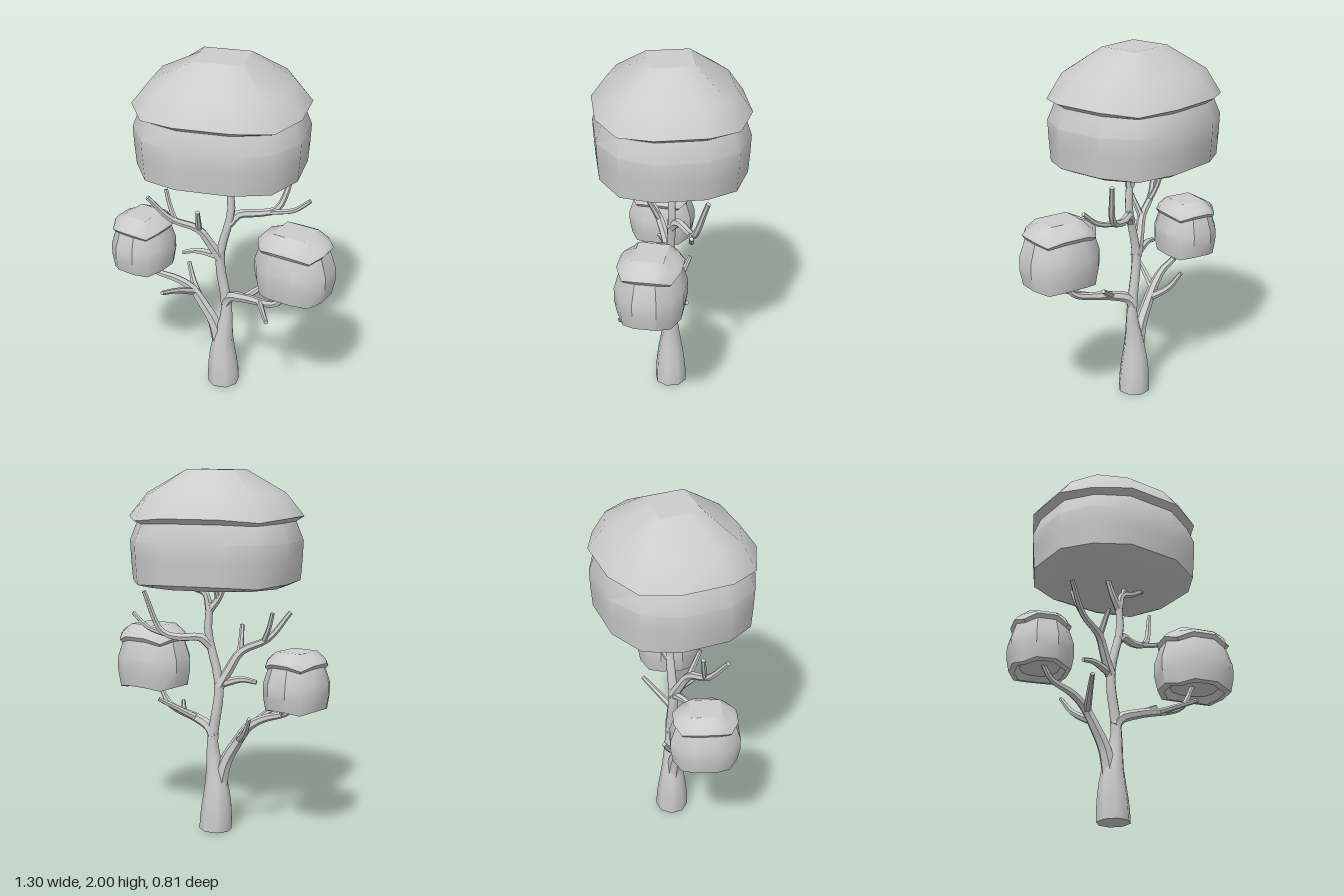
import * as THREE from 'three';
import { toCreasedNormals } from 'three/addons/utils/BufferGeometryUtils.js';

const material = new THREE.MeshStandardMaterial({ color: 0xcccccc });
const V = (x, y, z) => new THREE.Vector3(x, y, z);

// Skin a list of rings (each counter-clockwise around the direction of travel)
function loft(rings, crease, capStart, capEnd) {
  const n = rings[0].length, index = [];
  const points = rings.flat();
  const at = (r, i) => r * n + (i % n);
  for (let r = 0; r < rings.length - 1; r++)
    for (let i = 0; i < n; i++) {
      index.push(at(r, i), at(r, i + 1), at(r + 1, i + 1));
      index.push(at(r, i), at(r + 1, i + 1), at(r + 1, i));
    }
  const cap = (r, flip) => {
    const c = V(0, 0, 0);
    rings[r].forEach(p => c.add(p));
    points.push(c.divideScalar(n));
    for (let i = 0; i < n; i++)
      index.push(at(r, i + flip), at(r, i + 1 - flip), points.length - 1);
  };
  if (capStart) cap(0, 1);
  if (capEnd) cap(rings.length - 1, 0);
  const g = new THREE.BufferGeometry().setFromPoints(points);
  g.setIndex(index);
  return toCreasedNormals(g, crease);
}

// Twelve-sided rounded square; drop lowers its corners, corner sets how square it is
function ring(y, rx, rz, drop = 0, corner = 0.77) {
  const edge = 0.34, points = [];
  for (let q = 0; q < 4; q++)
    for (const [a, b, d] of [[edge, 1, 0], [corner, corner, drop], [1, edge, 0]]) {
      const [x, z] = [[a, b], [b, -a], [-a, -b], [-b, a]][q];
      points.push(V(x * rx, y - d, z * rz));
    }
  return points;
}

// Foliage: body, smooth overhanging lid and the flat square on top
// Profile rows are height, width, corner drop and squareness, as parts of the size
function foliage(name, profile, [rx, h, rz], position, turn) {
  const group = new THREE.Group();
  group.name = name;
  const rings = profile.map(([y, w, drop = 0, corner]) => ring(y * h, w * rx, w * rz, drop * h, corner));
  const add = (part, geometry) => {
    const mesh = new THREE.Mesh(geometry, material);
    mesh.name = name + part;
    group.add(mesh);
  };
  add('Body', loft(rings.slice(0, -2), 0.6, true, false));
  add('Lid', loft(rings.slice(-3), 1.4, false, false));
  add('Top', loft(rings.slice(-1), 0.1, false, true));
  group.position.set(...position);
  group.rotation.y = turn;
  return group;
}

const crownProfile = [
  [0, 0.83], [0.045, 0.965, 0.02], [0.23, 0.985], [0.39, 0.995],
  [0.556, 0.91, 0.015], [0.6, 1, 0.03], [0.8, 0.79, 0.01, 0.8], [1, 0.283, 0, 1],
];

// The first two rows fold up into a hollow underside
const podProfile = [
  [0.13, 0.62], [0.06, 0.78, 0.04, 0.74], [0.08, 0.95, 0.05, 0.74], [0.3, 1.03, 0.02, 0.74],
  [0.5, 1.03, 0.02, 0.74], [0.77, 0.87, 0.06, 0.76], [0.83, 0.95, 0.08, 0.76], [0.9, 0.84, 0.03, 0.78], [1, 0.46, 0, 1],
];

// Limb along a curve, with its radius given as a function of the length travelled
function limb(name, curve, radiusAt, sides) {
  const steps = curve.points.length * 3;
  const { normals, binormals } = curve.computeFrenetFrames(steps);
  const rings = normals.map((normal, s) => {
    const radius = radiusAt(s / steps), centre = curve.getPointAt(s / steps);
    return Array.from({ length: sides }, (_, i) => {
      const a = ((i + 0.5) / sides) * Math.PI * 2;
      return centre.clone()
        .addScaledVector(normal, Math.cos(a) * radius)
        .addScaledVector(binormals[s], Math.sin(a) * radius);
    });
  });
  const mesh = new THREE.Mesh(loft(rings, 0.9, true, true), material);
  mesh.name = name;
  return mesh;
}

const smoothPath = points => new THREE.CatmullRomCurve3(points, false, 'centripetal');

// Tapered branch with twigs; each twig leaves it at t, ends at tip and bows up or down
function branch(name, radius, path, twigs) {
  const group = new THREE.Group();
  group.name = name;
  const curve = smoothPath(path.map(p => V(...p)));
  const radiusAt = t => THREE.MathUtils.lerp(radius, 0.013, Math.pow(t, 0.8));
  group.add(limb(name + 'Stem', curve, radiusAt, 6));
  twigs.forEach(([t, tip, bow]) => {
    const start = curve.getPointAt(t), end = V(...tip);
    const middle = start.clone().lerp(end, 0.6).add(V(0, bow, 0));
    const thick = radiusAt(t) * 0.8;
    group.add(limb(name + 'Twig', smoothPath([start, middle, end]),
      s => THREE.MathUtils.lerp(thick, 0.012, s), 6));
  });
  return group;
}

export function createModel() {
  const model = new THREE.Group();
  model.name = 'tree';

  // Trunk: stout foot that narrows into a slender swaying stem
  const stem = smoothPath([V(-0.01, 0, 0), V(-0.016, 0.25, 0), V(0.008, 0.5, 0),
    V(-0.03, 0.82, 0), V(0.033, 1.12, 0), V(0.022, 1.28, 0)]);
  model.add(limb('trunk', stem,
    t => 0.036 - 0.016 * t + 0.055 * (1 - THREE.MathUtils.smoothstep(t, 0.03, 0.42)), 8));

  // Lower branches, carrying the side foliage
  model.add(branch('lowerRightBranch', 0.046,
    [[-0.03, 0.24, 0], [-0.068, 0.39, 0], [-0.13, 0.5, 0], [-0.2, 0.6, 0], [-0.28, 0.65, 0.01],
      [-0.42, 0.695, 0.02], [-0.48, 0.77, 0.03]],
    [[0.42, [-0.255, 0.68, -0.145], -0.03], [0.5, [-0.3, 0.68, 0.23], 0.01], [0.82, [-0.42, 0.77, -0.04], 0]]));
  model.add(branch('lowerLeftBranch', 0.034,
    [[0, 0.53, 0], [0.03, 0.58, 0.01], [0.13, 0.615, 0.06], [0.33, 0.665, 0.15], [0.405, 0.8, 0.16]],
    [[0.5, [0.31, 0.645, 0.32], 0], [0.3, [0.31, 0.73, -0.05], 0]]));

  // Bare upper branches
  model.add(branch('upperRightBranch', 0.032,
    [[-0.03, 0.82, 0], [-0.08, 0.91, 0.02], [-0.14, 1.01, 0.05], [-0.28, 1.08, 0.1], [-0.39, 1.225, 0.16]],
    [[0.62, [-0.32, 1.23, 0.05], -0.02], [0.38, [-0.123, 1.15, 0.12], 0], [0.02, [-0.235, 0.845, 0.04], 0.02]]));
  model.add(branch('upperLeftBranch', 0.028,
    [[0.02, 1.04, 0], [0.07, 1.09, -0.03], [0.17, 1.09, -0.07], [0.27, 1.12, -0.09], [0.35, 1.345, -0.15]],
    [[0.45, [0.46, 1.21, -0.05], -0.03]]));

  // Forks that hold the crown
  model.add(branch('crownRightFork', 0.024,
    [[0.025, 1.24, 0], [-0.02, 1.3, 0.01], [-0.075, 1.42, 0.02]], [[0.36, [-0.01, 1.42, -0.04], 0]]));
  model.add(branch('crownLeftFork', 0.024,
    [[0.027, 1.24, 0], [0.05, 1.33, 0], [0.12, 1.355, 0.01], [0.19, 1.4, 0.02]], [[0.4, [0.08, 1.42, -0.02], 0]]));

  // Foliage
  model.add(foliage('crown', crownProfile, [0.452, 0.62, 0.405], [-0.015, 1.38, 0], 0));
  model.add(foliage('leftFoliage', podProfile, [0.206, 0.375, 0.178], [0.425, 0.75, 0.155], -0.28));
  model.add(foliage('rightFoliage', podProfile, [0.162, 0.33, 0.178], [-0.475, 0.71, -0.003], -0.34));
  return model;
}
